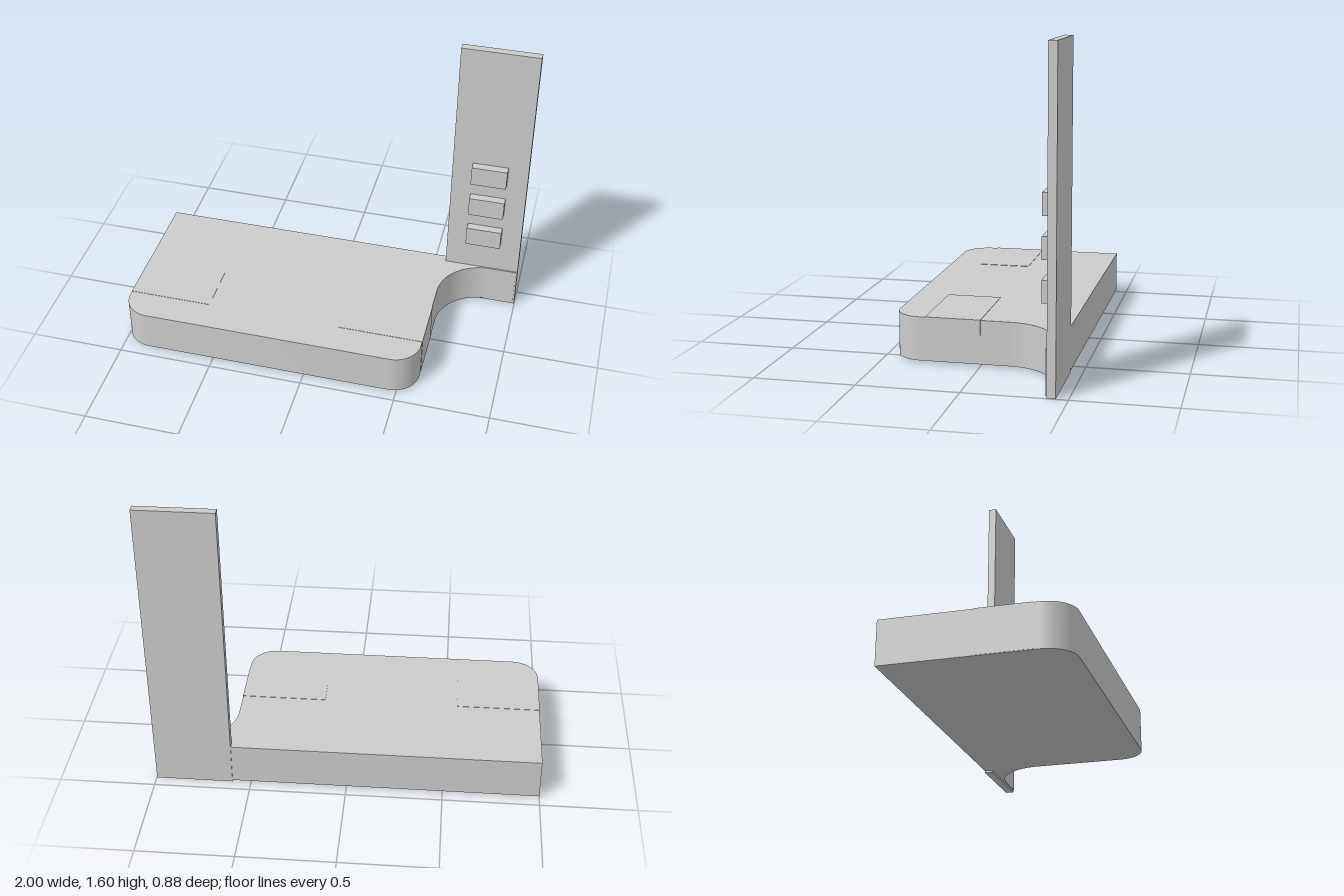
import * as THREE from 'three';
import { toCreasedNormals } from 'three/addons/utils/BufferGeometryUtils.js';

export function createModel() {
  const model = new THREE.Group();
  const material = new THREE.MeshStandardMaterial({ color: 0xcccccc });

  const add = (name, geometry) => {
    const mesh = new THREE.Mesh(geometry, material);
    mesh.name = name;
    model.add(mesh);
    return mesh;
  };

  // Box given by its minimum and maximum corners
  const addBox = (name, x0, x1, y0, y1, z0, z1) =>
    add(name, new THREE.BoxGeometry(x1 - x0, y1 - y0, z1 - z0))
      .position.set((x0 + x1) / 2, (y0 + y1) / 2, (z0 + z1) / 2);

  const back = -0.442, front = 0.442, panelFront = -0.4;
  const bottom = 0.01, top = 0.229;

  // Base slab: plan outline (x, z) with rounded front corners and a concave
  // sweep running out in front of the upright panel
  const r = 0.14, sweep = 0.25, lip = -0.394;
  const plan = new THREE.Shape();
  plan.moveTo(-1, back);
  plan.lineTo(0.597, back);
  plan.lineTo(0.597, panelFront);
  plan.lineTo(0.99, panelFront);
  plan.lineTo(0.99, lip);
  plan.lineTo(0.597 + sweep, lip);
  plan.absarc(0.597 + sweep, lip + sweep, sweep, -Math.PI / 2, -Math.PI, true);
  plan.lineTo(0.597, front - r);
  plan.absarc(0.597 - r, front - r, r, 0, Math.PI / 2, false);
  plan.lineTo(-1 + r, front);
  plan.absarc(-1 + r, front - r, r, Math.PI / 2, Math.PI, false);
  plan.closePath();
  const slab = new THREE.ExtrudeGeometry(plan, {
    depth: top - bottom, bevelEnabled: false, curveSegments: 24,
  });
  slab.rotateX(Math.PI / 2);
  slab.translate(0, top, 0);
  add('baseSlab', toCreasedNormals(slab, 0.5));

  // Nearly flush inset pads on the two ends of the slab
  addBox('rightPad', -1.001, -0.56, bottom + 0.003, top + 0.002, 0, 0.275);
  addBox('leftPad', 0.15, 0.599, bottom + 0.003, top + 0.002, 0, 0.275);

  // Tall upright panel at the back left corner
  addBox('uprightPanel', 0.598, 0.998, 0, 1.6, back, panelFront);

  // Three stacked blocks on the panel face
  for (let i = 0; i < 3; i++) {
    const y = 0.41 + i * 0.201;
    addBox('panelBlock' + (i + 1), 0.705, 0.892, y, y + 0.107, panelFront - 0.005, -0.355);
  }

  return model;
}
